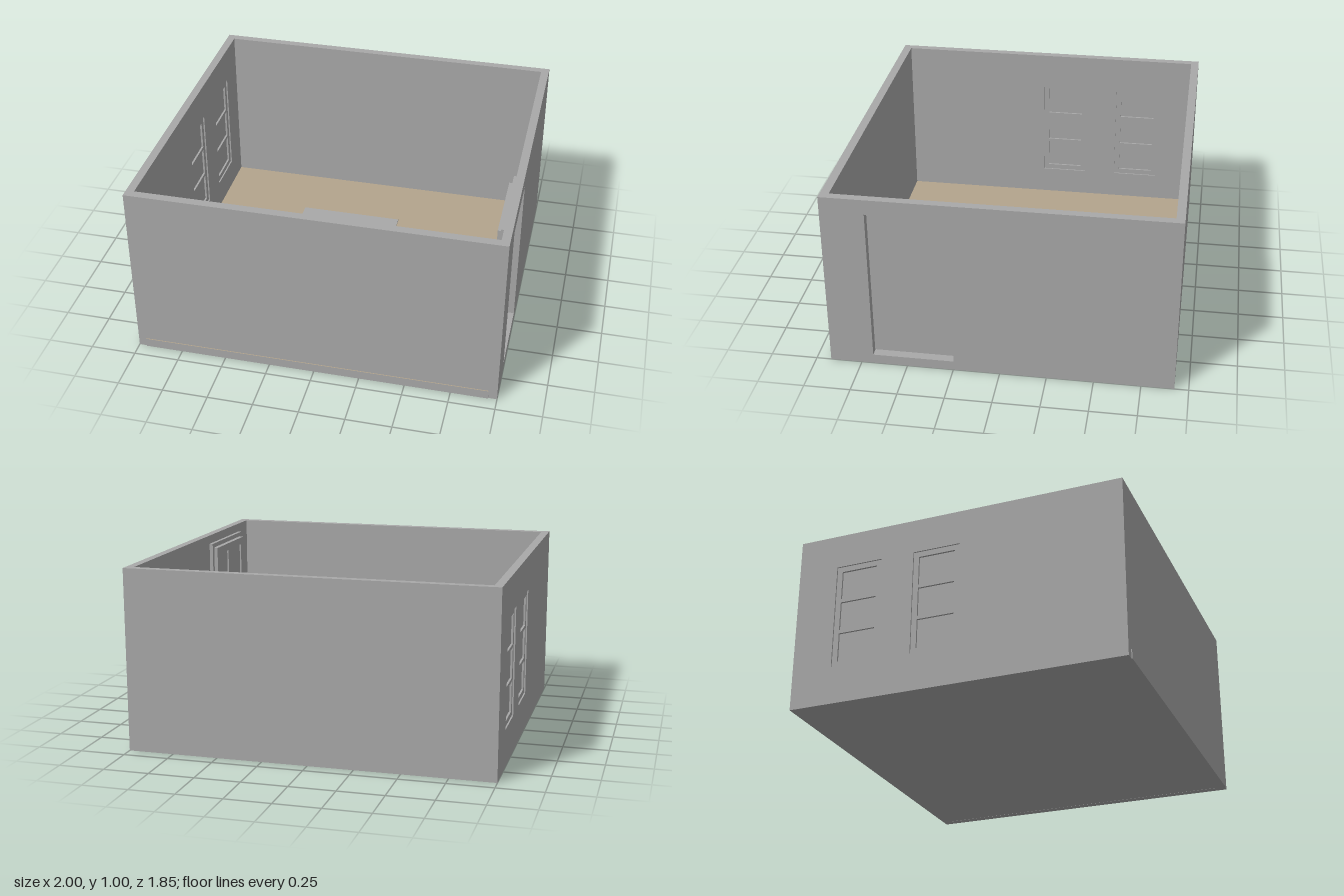
import * as THREE from 'three';

const grey = new THREE.MeshStandardMaterial({ color: 0xa8a8a8 });
grey.name = 'plaster grey';
const tan = new THREE.MeshStandardMaterial({ color: 0xb3a48c });
tan.name = 'floor tan';

// Rectangles are [z0, z1, y0, y1]
function trace(path, [z0, z1, y0, y1]) {
  path.moveTo(z0, y0);
  path.lineTo(z1, y0);
  path.lineTo(z1, y1);
  path.lineTo(z0, y1);
  path.closePath();
  return path;
}

// Upright plate in the z-y plane between x0 and x1, with rectangular holes
function plate(name, x0, x1, outline, holes = []) {
  const shape = trace(new THREE.Shape(), outline);
  shape.holes = holes.map((h) => trace(new THREE.Path(), h));
  const geo = new THREE.ExtrudeGeometry(shape, { depth: x1 - x0, bevelEnabled: false });
  geo.rotateY(-Math.PI / 2).translate(x1, 0, 0);
  const mesh = new THREE.Mesh(geo, grey);
  mesh.name = name;
  return mesh;
}

function box(name, [x0, x1], [y0, y1], [z0, z1], material = grey) {
  const geo = new THREE.BoxGeometry(x1 - x0, y1 - y0, z1 - z0);
  geo.translate((x0 + x1) / 2, (y0 + y1) / 2, (z0 + z1) / 2);
  const mesh = new THREE.Mesh(geo, material);
  mesh.name = name;
  return mesh;
}

function createWindow([z0, z1, y0, y1]) {
  const g = new THREE.Group();
  g.name = 'window';
  const rim = 0.03, bar = 0.02;
  const paneH = (y1 - y0 - 2 * rim - 2 * bar) / 3;
  const panes = [0, 1, 2].map((i) => {
    const b = y0 + rim + i * (paneH + bar);
    return [z0 + rim, z1 - rim, b, b + paneH];
  });
  g.add(plate('windowFrame', -0.992, -0.963, [z0, z1, y0, y1], panes));
  g.add(plate('windowPane', -0.981, -0.974, [z0 + 0.01, z1 - 0.01, y0 + 0.01, y1 - 0.01]));
  return g;
}

function createDoor() {
  const g = new THREE.Group();
  g.name = 'door';
  // Casing on the inner wall
  g.add(plate('doorCasing', 0.935, 0.955, [0.21, 0.715, 0.05, 0.95], [[0.235, 0.69, 0.052, 0.925]]));
  // Leaf with six sunken panels
  const outline = [0.237, 0.688, 0.055, 0.922];
  const panels = [];
  for (const [z0, z1] of [[0.275, 0.425], [0.5, 0.65]])
    for (const [y0, y1] of [[0.1, 0.34], [0.38, 0.5], [0.54, 0.88]]) panels.push([z0, z1, y0, y1]);
  g.add(plate('doorCore', 0.924, 0.952, outline));
  g.add(plate('doorFace', 0.915, 0.924, outline, panels));
  // Knob
  const knob = new THREE.Mesh(new THREE.SphereGeometry(0.013, 20, 14), grey);
  knob.name = 'doorKnob';
  knob.position.set(0.892, 0.49, 0.257);
  const stem = new THREE.Mesh(new THREE.CylinderGeometry(0.006, 0.006, 0.025, 16), grey);
  stem.name = 'knobStem';
  stem.rotation.z = Math.PI / 2;
  stem.position.set(0.905, 0.49, 0.257);
  g.add(knob, stem);
  return g;
}

export function createModel() {
  const room = new THREE.Group();
  room.name = 'room';

  // Floor slab: only its top is tan, its front edge shows as a thin lip
  room.add(box('floor', [-0.957, 0.953], [0, 0.05], [-0.882, 0.925],
    [grey, grey, tan, grey, grey, grey]));
  room.add(box('floorMat', [-0.42, 0.18], [0.05, 0.056], [-0.51, 0.08]));

  // Front and back walls
  room.add(box('frontWall', [-1, 1], [0, 1], [0.873, 0.92]));
  room.add(box('backWall', [-1, 1], [0, 1], [-0.925, -0.88]));

  // Side walls with openings
  const side = [-0.88, 0.873, 0, 1];
  const windows = [[-0.697, -0.43, 0.21, 0.805], [-0.243, 0.024, 0.21, 0.805]];
  room.add(plate('rightWall', -1, -0.955, side, windows));
  room.add(plate('leftWall', 0.955, 1, side, [[0.247, 0.685, 0.053, 0.917]]));
  windows.forEach((w) => room.add(createWindow(w)));
  room.add(createDoor());
  return room;
}
